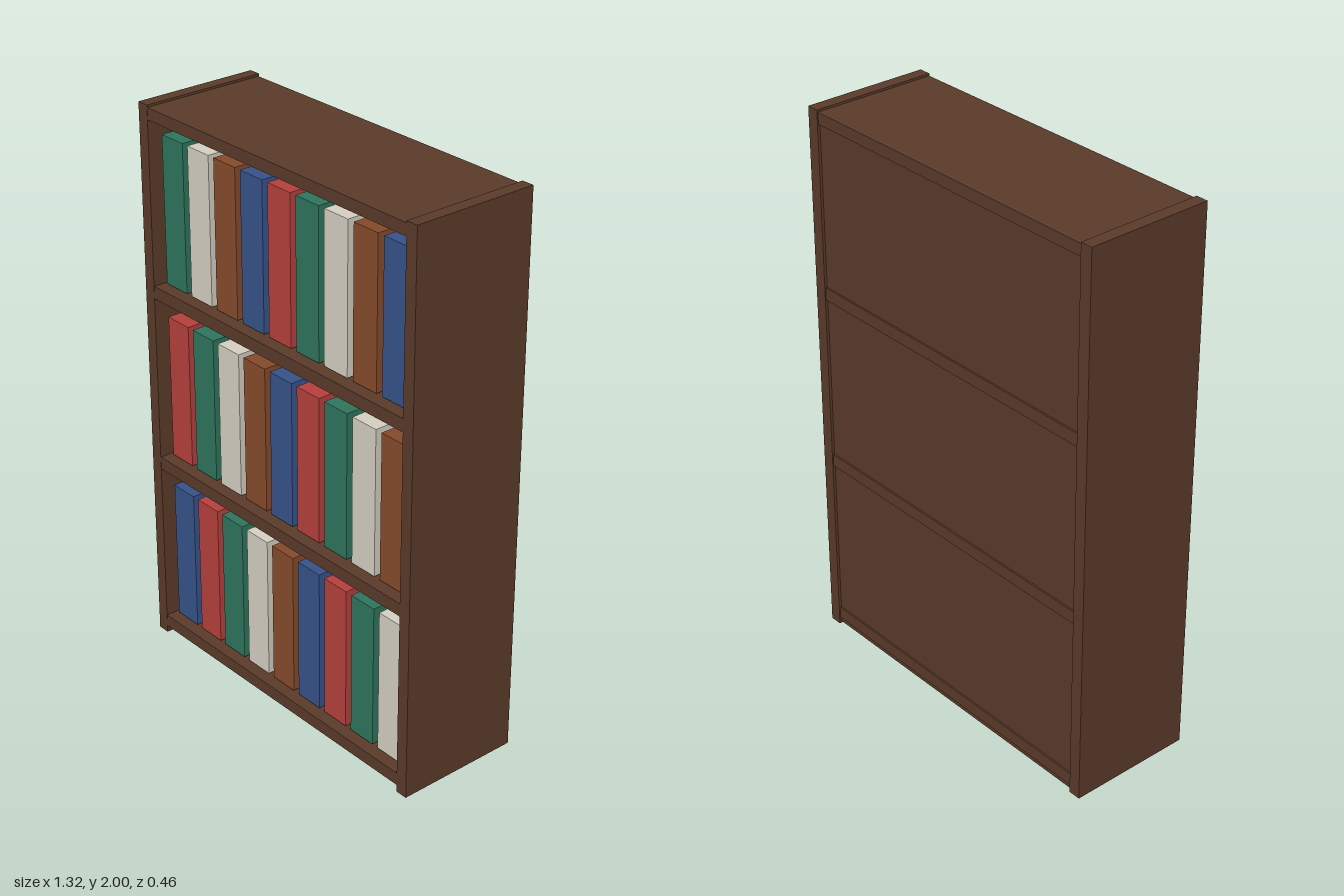
import * as THREE from 'three';

const material = (color) => new THREE.MeshStandardMaterial({ color });

// Box given by its minimum and maximum corners
function box(name, mat, [x0, y0, z0], [x1, y1, z1]) {
  const mesh = new THREE.Mesh(new THREE.BoxGeometry(x1 - x0, y1 - y0, z1 - z0), mat);
  mesh.position.set((x0 + x1) / 2, (y0 + y1) / 2, (z0 + z1) / 2);
  mesh.name = name;
  return mesh;
}

export function createModel() {
  const group = new THREE.Group();
  group.name = 'bookcase';
  const wood = material(0x5a3a29);
  // blue, red, green, cream, brown
  const covers = [0x36528a, 0xb4403c, 0x2f745d, 0xd4cec2, 0x854a2b].map(material);
  const inner = 0.615;

  // Side panels, slightly proud of everything between them
  group.add(box('rightSide', wood, [-0.66, 0, -0.23], [-inner, 2, 0.23]));
  group.add(box('leftSide', wood, [inner, 0, -0.23], [0.66, 2, 0.23]));

  // Back panel, set in a little behind the shelf edges
  group.add(box('backPanel', wood, [-inner, 0.005, -0.22], [inner, 1.992, -0.18]));

  // Three shelves and the top board
  const shelves = [0.025, 0.672, 1.32];
  shelves.forEach((y) => {
    group.add(box('shelf', wood, [-inner, y, -0.226], [inner, y + 0.046, 0.229]));
  });
  group.add(box('topBoard', wood, [-inner, 1.95, -0.226], [inner, 1.992, 0.229]));

  // Nine books on every shelf, the colours shifting by one per row
  shelves.forEach((y, row) => {
    const books = new THREE.Group();
    books.name = 'bookRow';
    const y0 = y + 0.052;
    for (let i = 0; i < 9; i++) {
      const x = (i - 4) * 0.134 - 0.005;
      books.add(box('book', covers[(row + i) % 5],
        [x - 0.054, y0, -0.15], [x + 0.054, y0 + 0.525, 0.19]));
    }
    group.add(books);
  });

  return group;
}
